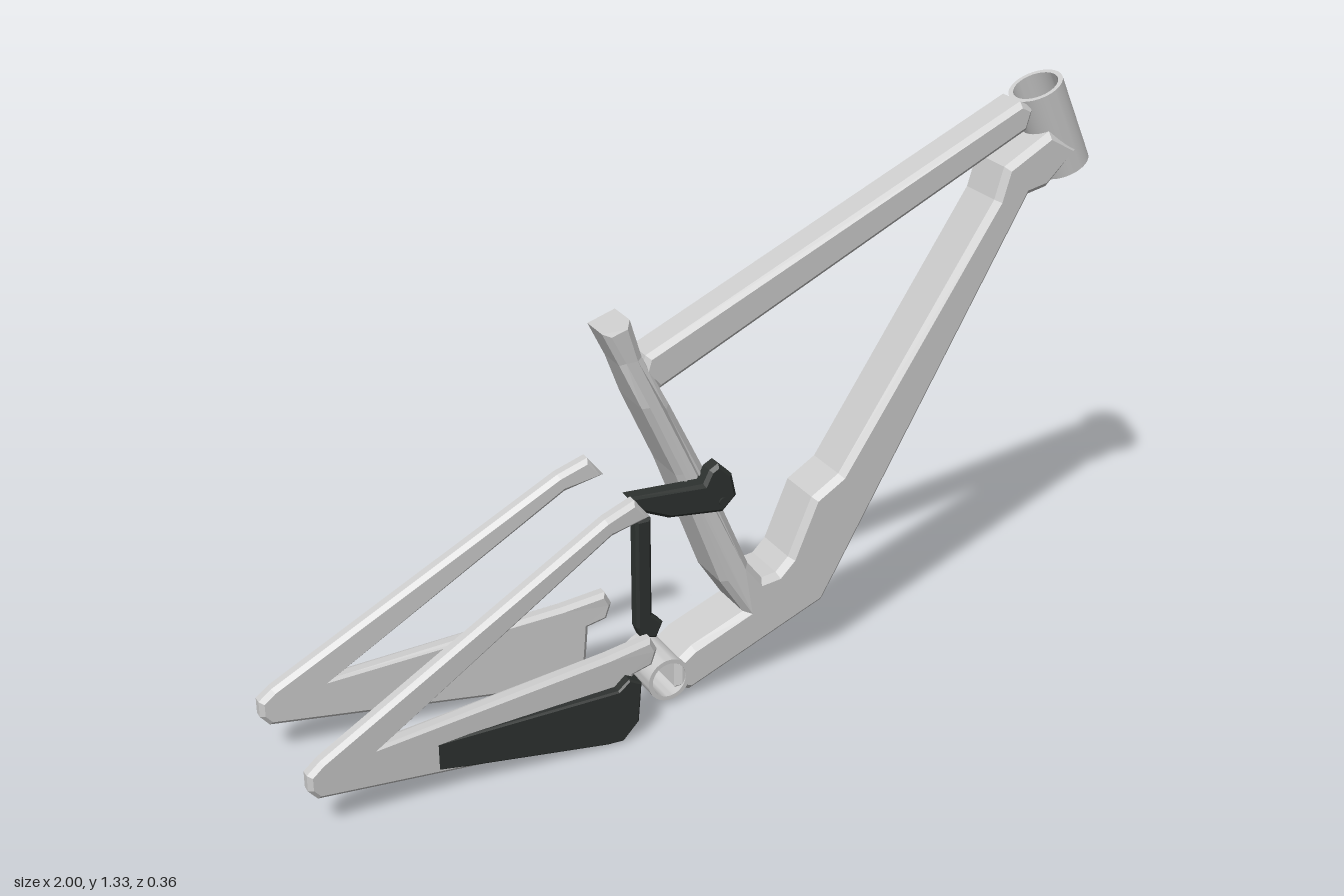
import * as THREE from 'three';
import { toCreasedNormals } from 'three/addons/utils/BufferGeometryUtils.js';

const grey = new THREE.MeshStandardMaterial({ color: 0xcccccc });
const dark = new THREE.MeshStandardMaterial({ color: 0x2e3230 });

function add(parent, name, geometry, material = grey) {
  const mesh = new THREE.Mesh(geometry, material);
  mesh.name = name;
  parent.add(mesh);
  return mesh;
}

// Side outline extruded across z from z0 to z1, with chamfered edges
function plate(points, z0, z1, bevel) {
  const shape = new THREE.Shape(points.map(([x, y]) => new THREE.Vector2(x, y)));
  const geo = new THREE.ExtrudeGeometry(shape, {
    depth: z1 - z0 - 2 * bevel, bevelEnabled: true, bevelSegments: 1,
    bevelSize: bevel, bevelThickness: bevel, bevelOffset: -bevel,
  });
  return geo.translate(0, 0, z0 + bevel);
}

// Move z of every vertex by a rule, keeping flat faces
function reshapeZ(geo, rule) {
  const p = geo.attributes.position;
  for (let i = 0; i < p.count; i++) p.setZ(i, rule(p.getX(i), p.getY(i), p.getZ(i)));
  geo.computeVertexNormals();
  return geo;
}

// Hollow round tube along z, centred on the origin
function ringTube(outer, inner, length) {
  const shape = new THREE.Shape().absarc(0, 0, outer, 0, Math.PI * 2, false);
  shape.holes.push(new THREE.Path().absarc(0, 0, inner, 0, Math.PI * 2, true));
  const geo = new THREE.ExtrudeGeometry(shape, { depth: length, bevelEnabled: false, curveSegments: 24 });
  return toCreasedNormals(geo.translate(0, 0, -length / 2), 0.6);
}

export function createModel() {
  const group = new THREE.Group();
  group.name = 'bicycleFrame';

  // Seat tube, down tube and bottom bracket arm in one piece
  const body = plate([
    [-0.25, 0.933], [-0.185, 0.954], [-0.158, 0.864], [-0.104, 0.751], [-0.013, 0.564],
    [0.094, 0.313], [0.131, 0.265], [0.168, 0.27], [0.2, 0.302], [0.227, 0.366],
    [0.259, 0.441], [0.329, 0.484], [0.719, 1.078], [0.741, 1.152], [0.858, 1.217],
    [0.939, 1.168], [0.858, 1.088], [0.81, 1.078], [0.329, 0.233], [0.291, 0.168],
    [-0.056, 0.024], [-0.094, 0.04], [-0.094, 0.104], [-0.051, 0.136], [0.083, 0.19],
    [0.024, 0.281], [-0.088, 0.575], [-0.168, 0.751], [-0.211, 0.853],
  ], -0.068, 0.068, 0.014);
  // Seat tube slims towards its top
  reshapeZ(body, (x, y, z) => {
    if (x > 0) return z;
    return z * (1 - 0.34 * THREE.MathUtils.clamp((y - 0.76) / 0.08, 0, 1));
  });
  add(group, 'mainFrame', body);

  // Top tube
  add(group, 'topTube', plate([
    [-0.148, 0.864], [0.789, 1.291], [0.825, 1.272], [0.81, 1.222], [-0.12, 0.779], [-0.16, 0.825],
  ], -0.045, 0.045, 0.012));

  // Head tube, leaning back
  const head = ringTube(0.063, 0.052, 0.214);
  head.rotateX(-Math.PI / 2);
  const headTube = add(group, 'headTube', head);
  headTube.position.set(0.897, 1.212, 0);
  headTube.rotation.z = 0.424;

  // Bottom bracket shell
  add(group, 'bottomBracket', ringTube(0.052, 0.042, 0.142)).position.set(-0.115, 0.072, 0);

  // Rear stays: seat stay and chain stay joined at the dropout, splayed outwards
  const stayOutline = [
    [-1, 0.15], [-0.97, 0.175], [-0.297, 0.553], [-0.225, 0.58], [-0.187, 0.532], [-0.281, 0.51],
    [-0.837, 0.168], [-0.297, 0.217], [-0.19, 0.232], [-0.174, 0.2], [-0.187, 0.163],
    [-0.233, 0.152], [-0.243, 0.035], [-0.275, 0.006], [-0.98, 0.088], [-1, 0.112],
  ];
  for (const side of [1, -1]) {
    const stay = plate(stayOutline, -0.02, 0.02, 0.01);
    reshapeZ(stay, (x, y, z) => z + side * (0.116 - 0.055 * Math.min(0, x + 0.2)));
    add(group, side > 0 ? 'leftRearStay' : 'rightRearStay', stay);
  }

  // Dark guard let into the front chain stay
  add(group, 'chainStayGuard', plate([
    [-0.857, 0.134], [-0.286, 0.141], [-0.259, 0.163], [-0.229, 0.147],
    [-0.237, 0.05], [-0.275, 0.01], [-0.313, 0.011], [-0.857, 0.088],
  ], 0.107, 0.164, 0.004), dark);

  // Suspension rocker and the strut below it
  add(group, 'rockerLink', plate([
    [-0.222, 0.569], [-0.04, 0.56], [-0.025, 0.59], [-0.003, 0.602], [0.03, 0.57],
    [0.042, 0.515], [0.008, 0.482], [-0.035, 0.487], [-0.125, 0.498], [-0.19, 0.527],
  ], 0.055, 0.1, 0.008), dark);
  add(group, 'shockStrut', plate([
    [-0.211, 0.515], [-0.174, 0.515], [-0.174, 0.275], [-0.147, 0.249],
    [-0.163, 0.214], [-0.2, 0.222], [-0.211, 0.249],
  ], 0.073, 0.108, 0.006), dark);

  // Pivot bolt ends
  for (const z of [0.097, -0.097]) {
    const bolt = new THREE.CylinderGeometry(0.01, 0.01, 0.015, 12).rotateX(Math.PI / 2);
    add(group, 'pivotBolt', bolt, dark).position.set(0.005, 0.51, z);
  }
  return group;
}
